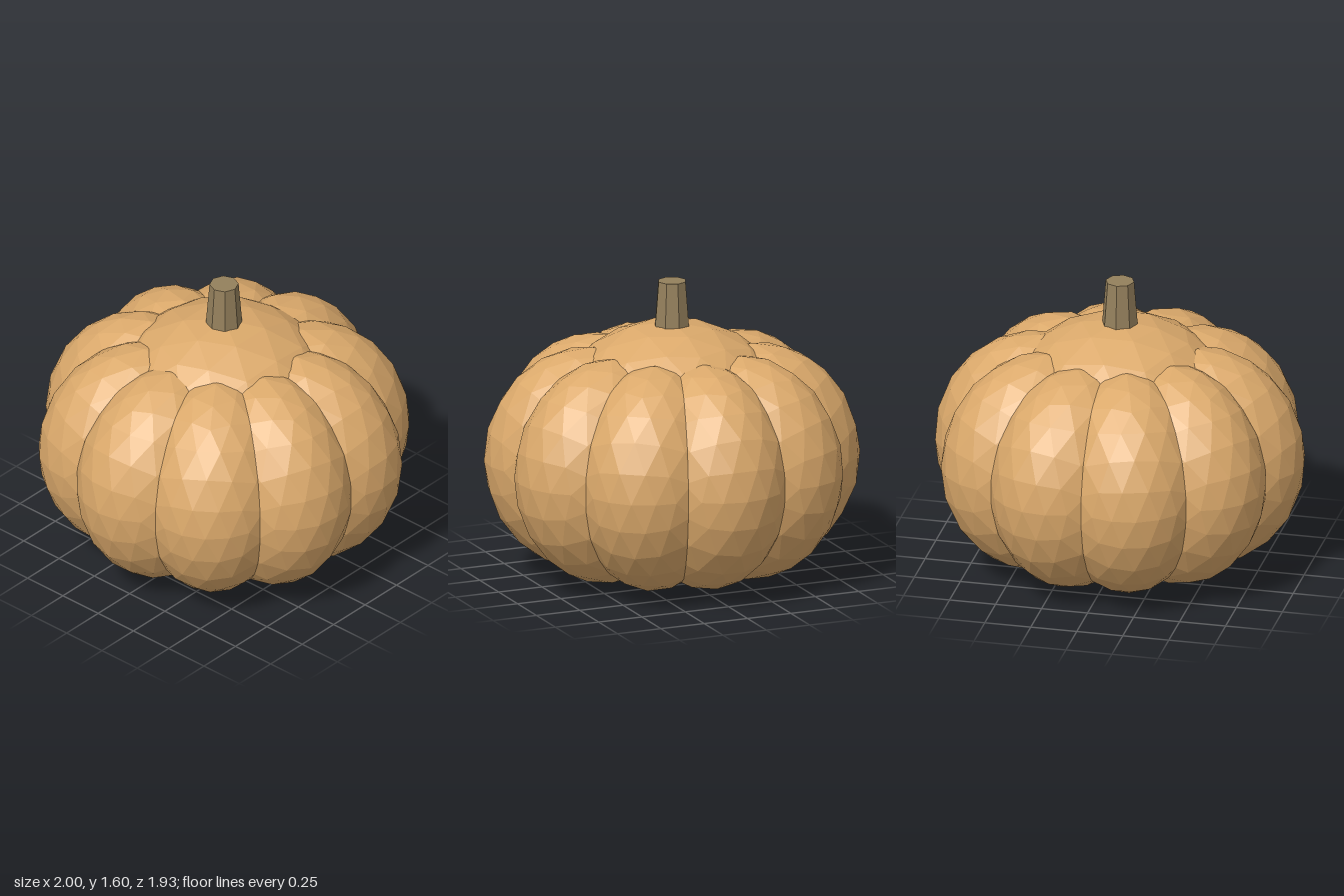
import * as THREE from 'three';

export function createModel() {
  const model = new THREE.Group();
  model.name = 'pumpkin';

  const rind = new THREE.MeshStandardMaterial({ color: 0xdba96b, flatShading: true });
  rind.name = 'tan rind';
  const bark = new THREE.MeshStandardMaterial({ color: 0x94805c, flatShading: true });
  bark.name = 'brown stem';

  // Faceted ball stretched to three half-axes
  const ball = (rx, ry, rz) => new THREE.IcosahedronGeometry(1, 3).scale(rx, ry, rz);

  const add = (name, geometry, material, y) => {
    const mesh = new THREE.Mesh(geometry, material);
    mesh.name = name;
    mesh.position.y = y;
    model.add(mesh);
    return mesh;
  };

  // Central body that shows as the dome above and the patch below
  add('core', ball(0.71, 0.687, 0.71), rind, 0.688);

  // Ring of ten ribs, each stretched outwards
  const ribCount = 10;
  const ribGeometry = ball(0.57, 0.607, 0.43).translate(0.43, 0, 0);
  for (let i = 0; i < ribCount; i++) {
    const rib = add(`rib${i + 1}`, ribGeometry, rind, 0.638);
    rib.rotation.y = (i / ribCount) * Math.PI * 2;
  }

  // Tapered eight-sided stem, sunk slightly into the dome
  add('stem', new THREE.CylinderGeometry(0.077, 0.097, 0.25, 8), bark, 1.475);

  return model;
}
